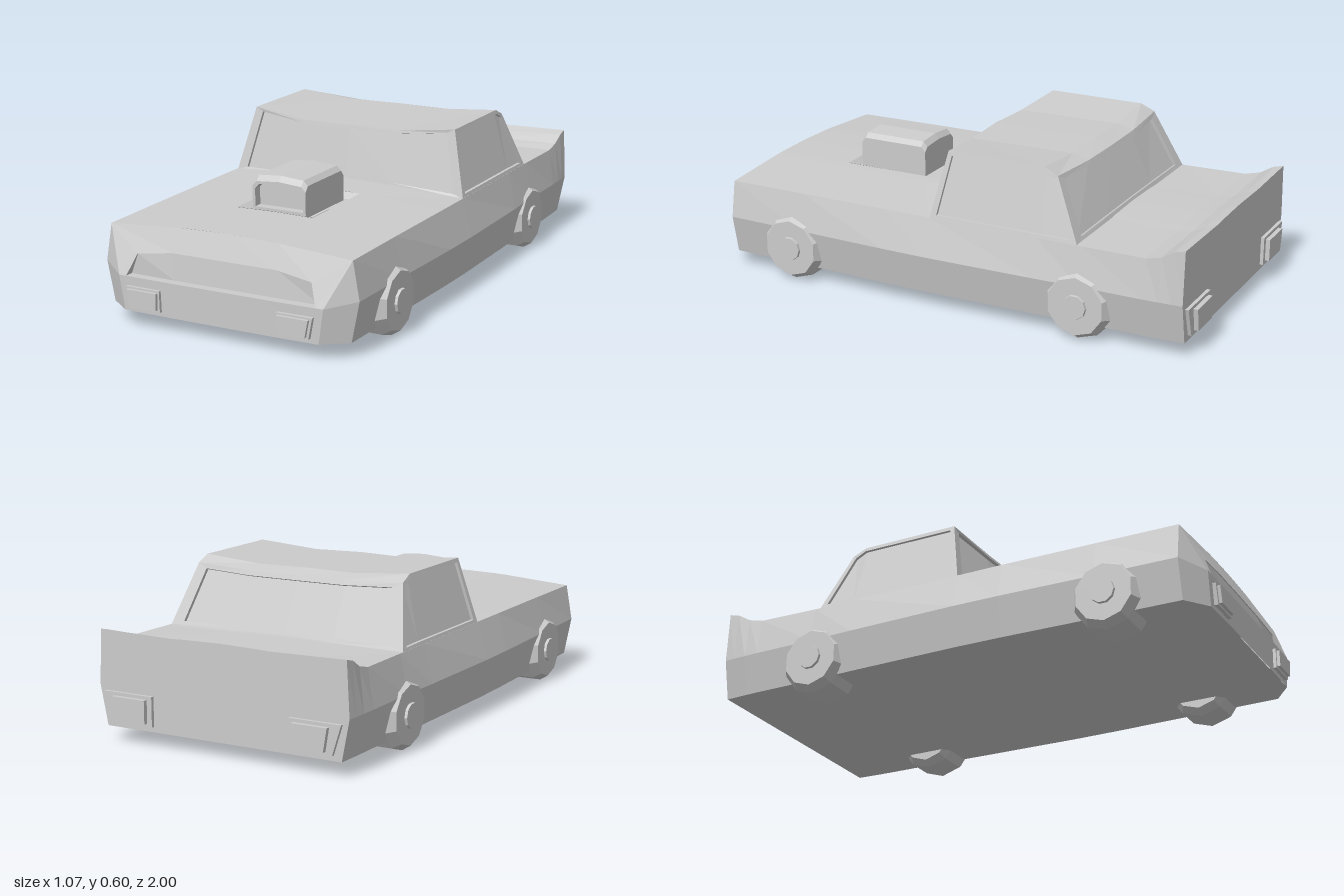
import * as THREE from 'three';

const shellMat = new THREE.MeshStandardMaterial({ color: 0xcccccc, flatShading: true, side: THREE.DoubleSide });
const solidMat = new THREE.MeshStandardMaterial({ color: 0xcccccc, flatShading: true });

// Quad surface through rows of [x, y, z] points; skip(r, c) leaves a hole
function grid(rows, skip = () => false) {
  const pos = [];
  for (let r = 0; r < rows.length - 1; r++) {
    for (let c = 0; c < rows[r].length - 1; c++) {
      if (skip(r, c)) continue;
      const a = rows[r][c], b = rows[r][c + 1], d = rows[r + 1][c], e = rows[r + 1][c + 1];
      pos.push(...a, ...d, ...b, ...b, ...d, ...e);
    }
  }
  const g = new THREE.BufferGeometry();
  g.setAttribute('position', new THREE.Float32BufferAttribute(pos, 3));
  g.computeVertexNormals();
  return g;
}

const flip = ([x, y, z]) => [-x, y, z];
// Half row running from the outside to the centre line -> full row
const full = (half) => [...half, ...half.slice(0, -1).reverse().map(flip)];
const lerp = (a, b, t) => a.map((v, i) => v + (b[i] - v) * t);
const lerpRow = (a, b, t) => a.map((p, i) => lerp(p, b[i], t));
const shift = (row, d) => row.map((p) => p.map((v, i) => v + d[i]));
const loop = (top, bottom) => [...top, ...[...bottom].reverse(), top[0]];

function add(parent, name, geometry, material = shellMat) {
  const mesh = new THREE.Mesh(geometry, material);
  mesh.name = name;
  parent.add(mesh);
  return mesh;
}

// Frame between two edges with a recessed pane inside it
function framed(parent, name, top, bottom, inTop, inBottom, dTop, dBottom) {
  const deepTop = shift(inTop, dTop), deepBottom = shift(inBottom, dBottom);
  add(parent, name + 'Frame', grid([loop(top, bottom), loop(inTop, inBottom), loop(deepTop, deepBottom)]));
  add(parent, name, grid([deepTop, deepBottom]));
}

// Evenly inset pane: mu is the margin at the row ends, mv at top and bottom
function framedInset(parent, name, top, bottom, mu, mv, depth) {
  const squeeze = (row) => row.map((p, i) =>
    i === 0 ? lerp(p, row[row.length - 1], mu) : i === row.length - 1 ? lerp(p, row[0], mu) : p);
  framed(parent, name, top, bottom, squeeze(lerpRow(top, bottom, mv)), squeeze(lerpRow(bottom, top, mv)), depth, depth);
}

// Body cross-section: w = half width at the waist, t = top edge half width, y / yc = edge and centre height
const section = ([z, w, t, y, yc]) => full([
  [0, 0.05, z], [w - 0.03, 0.05, z], [w, 0.2, z], [t, y, z],
  [0.2, yc - 0.005, z], [0.155, yc - 0.003, z], [0, yc, z]]);

function buildBody(car) {
  const rows = [
    [0.905, 0.51, 0.485, 0.34, 0.365], [0.59, 0.517, 0.487, 0.342, 0.366], [0.22, 0.528, 0.49, 0.343, 0.368],
    [0.04, 0.53, 0.49, 0.343, 0.37], [-0.4, 0.523, 0.49, 0.343, 0.36], [-0.58, 0.517, 0.49, 0.343, 0.35],
    [-0.82, 0.516, 0.495, 0.345, 0.35], [-0.88, 0.514, 0.497, 0.36, 0.362], [-0.93, 0.512, 0.5, 0.39, 0.385],
    [-0.97, 0.51, 0.5, 0.4, 0.4]].map(section);
  add(car, 'bodyShell', grid(rows, (r, c) => r === 1 && (c === 5 || c === 6)));
  const rear = rows[rows.length - 1];
  add(car, 'rearPanel', grid([rear, rear.map(() => [0, 0.2, -0.97])]));

  // Sunken tray in the bonnet
  const rim = (w, y0, y1, z0, z1) => [[w, y0, z0], [0, y1, z0], [-w, y0, z0], [-w, y0, z1], [0, y1, z1], [w, y0, z1], [w, y0, z0]];
  const floor = rim(0.125, 0.345, 0.345, 0.25, 0.565);
  add(car, 'bonnetTray', grid([rim(0.155, 0.364, 0.367, 0.22, 0.59), floor, floor.map(() => [0, 0.345, 0.41])]));

  // Nose: angled corners, bumper face and grille
  const top = full([[0.485, 0.34, 0.905], [0.2, 0.36, 0.905], [0, 0.365, 0.905]]);
  const waist = full([[0.41, 0.178, 0.975], [0.2, 0.178, 0.978], [0, 0.178, 0.978]]);
  const base = full([[0.39, 0.05, 0.972], [0.2, 0.05, 0.976], [0, 0.05, 0.976]]);
  const outer = [top[0], [0.51, 0.2, 0.905], [0.48, 0.05, 0.905]];
  const inner = [top[0], waist[0], base[0]];
  add(car, 'noseCornerLeft', grid([outer, inner]));
  add(car, 'noseCornerRight', grid([inner.map(flip), outer.map(flip)]));
  add(car, 'bumperFace', grid([waist, base]));
  add(car, 'noseUnderside', grid([[base[0], base[4]], [outer[2], flip(outer[2])]]));
  framed(car, 'grille', top, waist,
    full([[0.35, 0.255, 0.945], [0.21, 0.275, 0.937], [0, 0.275, 0.938]]),
    full([[0.38, 0.178, 0.975], [0.2, 0.178, 0.978], [0, 0.178, 0.978]]),
    [0, 0, -0.004], [0, 0, -0.035]);
}

function buildCabin(car) {
  const cabin = new THREE.Group();
  cabin.name = 'cabin';
  car.add(cabin);
  const frontBase = full([[0.49, 0.34, 0.035], [0.2, 0.362, 0.058], [0, 0.368, 0.065]]);
  const roofFront = full([[0.43, 0.59, -0.015], [0.2, 0.567, 0.012], [0, 0.57, 0.02]]);
  const roofRear = full([[0.43, 0.59, -0.4], [0.2, 0.572, -0.4], [0, 0.575, -0.4]]);
  const shoulder = full([[0.432, 0.565, -0.455], [0.2, 0.557, -0.468], [0, 0.557, -0.47]]);
  const rearBase = full([[0.49, 0.34, -0.56], [0.2, 0.344, -0.56], [0, 0.345, -0.56]]);

  add(cabin, 'roof', grid([roofFront, roofRear, shoulder]));
  framedInset(cabin, 'windshield', roofFront, frontBase, 0.04, 0.06, [0, -0.003, -0.012]);
  framedInset(cabin, 'rearWindow', shoulder, rearBase, 0.05, 0.08, [0, -0.005, 0.012]);
  const sideTop = [roofFront[0], roofRear[0], shoulder[0]];
  const sideBase = [frontBase[0], [0.49, 0.34, -0.42], rearBase[0]];
  framedInset(cabin, 'sideWindowLeft', sideTop, sideBase, 0.04, 0.06, [-0.012, 0, 0]);
  framedInset(cabin, 'sideWindowRight', sideTop.map(flip), sideBase.map(flip), 0.04, 0.06, [0.012, 0, 0]);
}

function buildScoop(car) {
  const scoop = new THREE.Group();
  scoop.name = 'bonnetScoop';
  car.add(scoop);
  // Arched section, k scales the width and drop lowers the crown
  const arch = (z, k, drop, y0 = 0.34) => {
    const row = full([[0.11 * k, y0, z], [0.11 * k, 0.462 - drop, z], [0.092 * k, 0.48 - drop, z], [0, 0.487 - drop, z]]);
    return [...row, row[0]];
  };
  const back = arch(0.27, 1, 0.02), mouth = arch(0.52, 0.9, 0.03, 0.365);
  add(scoop, 'scoopShell', grid([back.map(() => [0, 0.4, 0.27]), back, arch(0.287, 1, 0), arch(0.538, 1, 0),
    arch(0.555, 1, 0.02), arch(0.555, 0.9, 0.03, 0.365), mouth]));
  add(scoop, 'scoopMouth', grid([mouth, mouth.map(() => [0, 0.4, 0.52])]));
}

function buildWheels(car) {
  const profile = (pts) => pts.map(([r, y]) => new THREE.Vector2(r, y));
  // Ten-sided tyre with bevelled edges, axis turned from y to x
  const tyre = new THREE.LatheGeometry(profile([[0, -0.09], [0.108, -0.09], [0.131, -0.06], [0.131, 0.055], [0.11, 0.088], [0, 0.088]]), 10, Math.PI / 10);
  const hub = new THREE.CylinderGeometry(0.045, 0.05, 0.03, 10);
  for (const side of [1, -1]) for (const [end, z] of [['front', 0.63], ['rear', -0.57]]) {
    const wheel = new THREE.Group();
    wheel.name = end + (side > 0 ? 'Left' : 'Right') + 'Wheel';
    add(wheel, 'tyre', tyre);
    add(wheel, 'hub', hub, solidMat).position.y = 0.083;
    wheel.rotation.z = -side * Math.PI / 2;
    wheel.position.set(side * 0.438, 0.125, z);
    car.add(wheel);
  }
}

function buildLights(car) {
  const plate = (name, pts, side, z0, z1) => {
    const shape = new THREE.Shape(pts.map(([x, y]) => new THREE.Vector2(x * side, y)));
    add(car, name, new THREE.ExtrudeGeometry(shape, { depth: z1 - z0, bevelEnabled: false }), solidMat).position.z = z0;
  };
  for (const side of [1, -1]) {
    plate('headlightSurround', [[0.235, 0.145], [0.375, 0.145], [0.36, 0.067], [0.233, 0.067]], side, 0.95, 0.988);
    plate('headlight', [[0.242, 0.138], [0.364, 0.138], [0.352, 0.075], [0.242, 0.075]], side, 0.95, 1);
    plate('tailLightSurround', [[0.28, 0.18], [0.485, 0.18], [0.45, 0.07], [0.28, 0.07]], side, -0.983, -0.95);
    plate('tailLight', [[0.3, 0.168], [0.44, 0.168], [0.425, 0.082], [0.3, 0.082]], side, -1, -0.95);
  }
}

export function createModel() {
  const car = new THREE.Group();
  car.name = 'car';
  buildBody(car);
  buildCabin(car);
  buildScoop(car);
  buildWheels(car);
  buildLights(car);
  return car;
}
